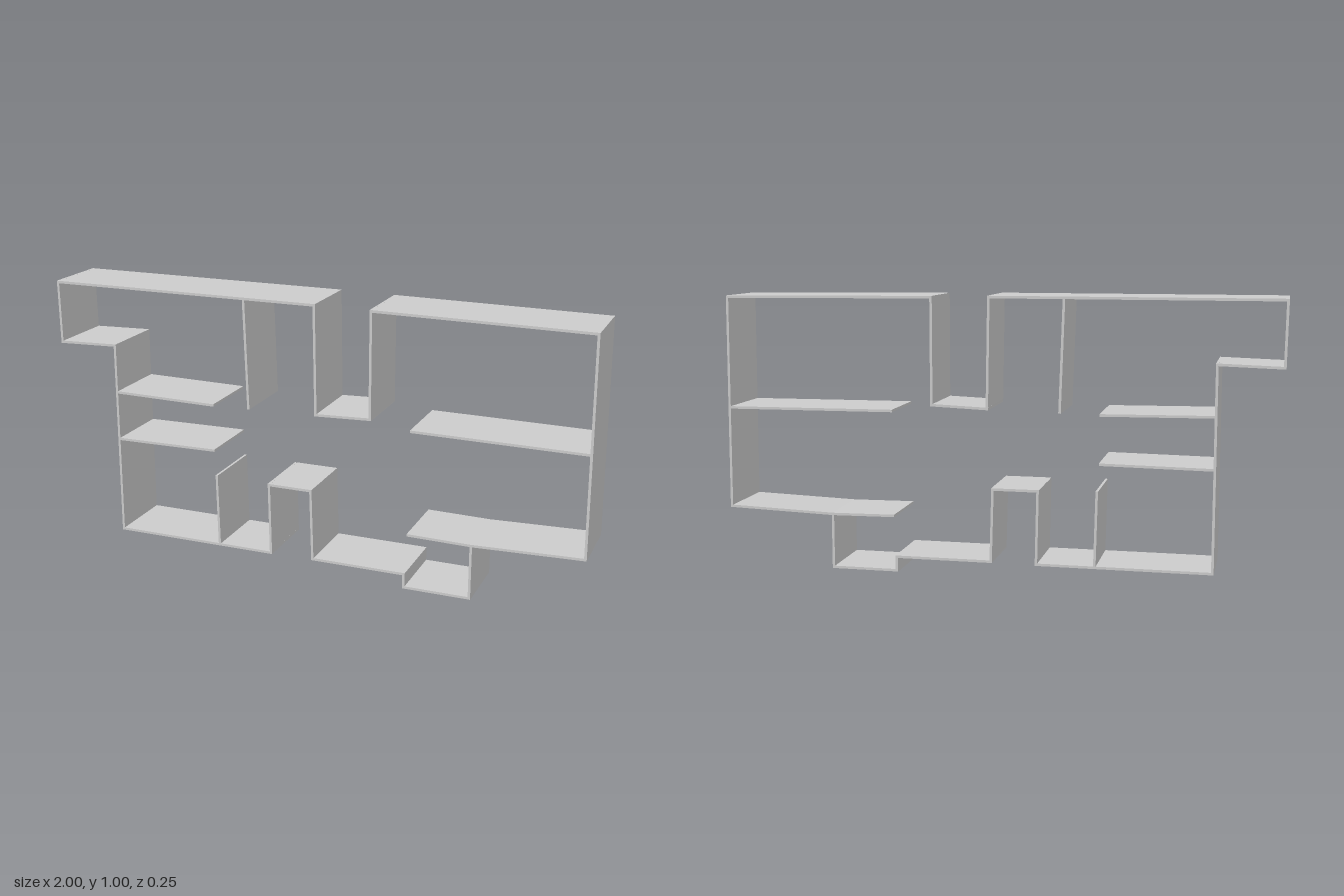
import * as THREE from 'three';

const THICK = 0.009, DEPTH = 0.25;
const material = new THREE.MeshStandardMaterial({ color: 0xcccccc, flatShading: true });

// One upright slab between two points of the plan
function wall(name, [x1, y1], [x2, y2], extendStart = 0, extendEnd = 0) {
  const dx = x2 - x1, dy = y2 - y1, length = Math.hypot(dx, dy);
  const geometry = new THREE.BoxGeometry(length + extendStart + extendEnd, THICK, DEPTH);
  geometry.translate((extendEnd - extendStart) / 2, 0, 0);
  const mesh = new THREE.Mesh(geometry, material);
  mesh.name = name;
  mesh.position.set((x1 + x2) / 2, (y1 + y2) / 2, 0);
  mesh.rotation.z = Math.atan2(dy, dx);
  return mesh;
}

// A chain of slabs that overlap by half a thickness at the corners
function wallChain(name, points) {
  const chain = new THREE.Group();
  chain.name = name;
  const h = THICK / 2;
  for (let i = 0; i < points.length - 1; i++) {
    chain.add(wall(name + 'Segment', points[i], points[i + 1],
      i > 0 ? h : 0, i < points.length - 2 ? h : 0));
  }
  return chain;
}

export function createModel() {
  const model = new THREE.Group();
  model.name = 'floorPlanWalls';

  // Outer walls, from the porch round the plan to the long inner end
  model.add(wallChain('outerWall', [
    [0.6, 0.2], [0.6, 0.0045], [0.36, 0.0045], [0.36, 0.055],
    [0.012, 0.055], [0.005, 0.317], [-0.157, 0.317], [-0.152, 0.053],
    [-0.769, 0.053], [-0.769, 0.775], [-0.992, 0.768], [-0.9955, 0.9935],
    [0.019, 0.9935], [0.025, 0.603], [0.226, 0.611], [0.226, 0.991],
    [0.987, 0.985], [0.9925, 0.215], [0.6, 0.202], [0.368, 0.205],
  ]));

  // Inner partitions
  const partitions = [
    ['upperLeftPartition', [-0.246, 0.992], [-0.233, 0.594]],
    ['leftUpperPartition', [-0.769, 0.597], [-0.372, 0.592]],
    ['leftLowerPartition', [-0.769, 0.415], [-0.372, 0.42]],
    ['lowerLeftPartition', [-0.36, 0.053], [-0.366, 0.325]],
    ['rightPartition', [0.99, 0.582], [0.372, 0.586]],
  ];
  for (const [name, a, b] of partitions) model.add(wall(name, a, b));

  return model;
}
